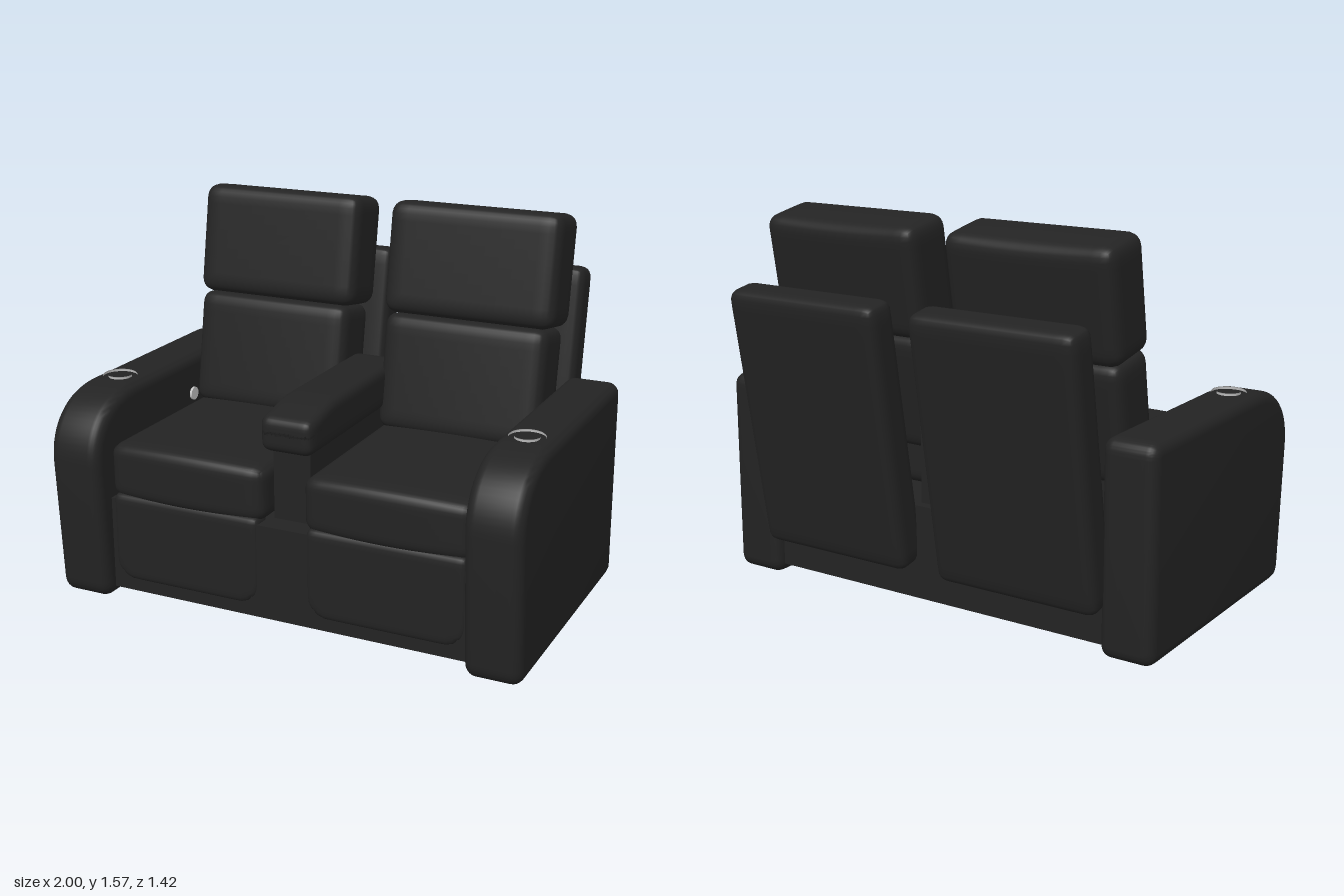
import * as THREE from 'three';
import { mergeVertices, toCreasedNormals } from 'three/addons/utils/BufferGeometryUtils.js';

const leather = new THREE.MeshStandardMaterial({ color: 0x232323 });
leather.name = 'black leather';
const metal = new THREE.MeshStandardMaterial({ color: 0xc4c4c4 });
metal.name = 'brushed metal';

// Soft box: rounded edges, optional reshaping of each vertex by a rule
function cushionGeometry(w, h, d, r, reshape) {
  const n = 18;
  const geo = new THREE.BoxGeometry(2, 2, 2, n, n, n);
  geo.deleteAttribute('normal');
  geo.deleteAttribute('uv');
  const half = new THREE.Vector3(w / 2, h / 2, d / 2);
  const inner = half.clone().subScalar(r);
  const pos = geo.attributes.position;
  const p = new THREE.Vector3(), core = new THREE.Vector3(), unit = new THREE.Vector3();
  for (let i = 0; i < pos.count; i++) {
    p.fromBufferAttribute(pos, i);
    // crowd the grid lines toward the edges
    p.set(...p.toArray().map((t) => Math.sin(t * Math.PI / 2)));
    unit.copy(p);
    p.multiply(half);
    core.copy(p).clamp(inner.clone().negate(), inner);
    p.sub(core).setLength(r).add(core);
    if (reshape) reshape(p, unit);
    pos.setXYZ(i, p.x, p.y, p.z);
  }
  const merged = mergeVertices(geo, 1e-5);
  merged.computeVertexNormals();
  return merged;
}

function add(parent, name, geo, material, x, y, z, tilt = 0) {
  const mesh = new THREE.Mesh(geo, material);
  mesh.name = name;
  mesh.position.set(x, y, z);
  mesh.rotation.x = tilt;
  parent.add(mesh);
  return mesh;
}

// Side panel with a rolled front; profile runs in z and y, extruded along x
function armGeometry(width) {
  const s = new THREE.Shape();
  s.moveTo(-0.42, 0);
  s.lineTo(0.61, 0);
  s.quadraticCurveTo(0.675, 0, 0.68, 0.07);
  s.lineTo(0.71, 0.58);
  s.bezierCurveTo(0.715, 0.74, 0.6, 0.855, 0.4, 0.855);
  s.lineTo(-0.42, 0.855);
  s.quadraticCurveTo(-0.48, 0.855, -0.48, 0.795);
  s.lineTo(-0.48, 0.06);
  s.quadraticCurveTo(-0.48, 0, -0.42, 0);
  const b = 0.045;
  const geo = new THREE.ExtrudeGeometry(s, {
    depth: width - 2 * b, bevelThickness: b, bevelSize: b, bevelOffset: -b,
    bevelSegments: 6, curveSegments: 16,
  });
  geo.translate(0, 0, b - width / 2);
  geo.rotateY(-Math.PI / 2);
  return toCreasedNormals(geo, 0.7);
}

// Flat-topped metal rim of a cup holder
function ringGeometry() {
  const pts = [[0.048, -0.02], [0.048, 0.006], [0.053, 0.011], [0.066, 0.011], [0.071, 0.006], [0.071, -0.02]];
  return new THREE.LatheGeometry(pts.map(([x, y]) => new THREE.Vector2(x, y)), 40);
}

export function createModel() {
  const model = new THREE.Group();
  model.name = 'twinReclinerSofa';
  const recline = -0.17;

  // Base and centre console
  add(model, 'base', new THREE.BoxGeometry(1.6, 0.39, 1.055), leather, 0, 0.235, 0.0875);
  add(model, 'consoleColumn', new THREE.BoxGeometry(0.16, 0.36, 0.92), leather, 0, 0.58, 0.06);
  const consolePad = cushionGeometry(0.225, 0.18, 0.85, 0.04, (p) => {
    // top slopes down toward the front
    if (p.y > 0) p.y -= 0.035 * THREE.MathUtils.smoothstep(p.z, 0.2, 0.43);
  });
  add(model, 'consoleArmrest', consolePad, leather, 0, 0.81, 0.155);

  // Shared cushion shapes
  const seat = cushionGeometry(0.7, 0.24, 0.85, 0.05, (p, u) => {
    if (u.z > 0) p.z -= 0.025 * u.x * u.x * u.z;
    if (u.y > 0) p.y -= 0.015 * u.x * u.x * u.y;
  });
  const lumbar = cushionGeometry(0.695, 0.48, 0.26, 0.05, (p, u) => {
    if (u.z > 0) p.z -= 0.012 * u.x * u.x;
  });
  const headrest = cushionGeometry(0.73, 0.46, 0.26, 0.055, (p, u) => {
    // slight waist at the top rear
    if (u.y > 0 && u.z < 0) p.y -= 0.012 * (1 - u.x * u.x) * u.y * -u.z;
  });
  const backPanel = cushionGeometry(0.715, 1.11, 0.155, 0.045);
  const footrest = cushionGeometry(0.66, 0.37, 0.1, 0.03, (p, u) => {
    // round the lower corners
    const r = 0.09, cx = 0.33 - r, cy = -0.185 + r;
    const dx = Math.abs(p.x) - cx, dy = cy - p.y;
    if (dx > 0 && dy > 0) {
      const k = Math.max(dx, dy) / Math.hypot(dx, dy);
      p.x = Math.sign(p.x) * (cx + dx * k);
      p.y = cy - dy * k;
    }
  });
  const arm = armGeometry(0.225);
  const ring = ringGeometry();
  const button = new THREE.CylinderGeometry(0.028, 0.028, 0.02, 24).rotateZ(Math.PI / 2);

  for (const [side, label] of [[1, 'left'], [-1, 'right']]) {
    const half = new THREE.Group();
    half.name = label + 'Recliner';
    model.add(half);
    const x = side * 0.434;
    add(half, 'seatCushion', seat, leather, x, 0.55, 0.207);
    add(half, 'footrest', footrest, leather, x, 0.27, 0.575);
    add(half, 'lumbarCushion', lumbar, leather, x, 0.868, -0.21, recline);
    add(half, 'headrest', headrest, leather, x, 1.325, -0.31, recline);
    add(half, 'backPanel', backPanel, leather, x, 0.727, -0.548, recline);
    add(half, 'arm', arm, leather, side * 0.8875, 0, 0);
    // Fittings on the arm
    add(half, 'cupHolderRing', ring, metal, side * 0.885, 0.856, 0.352);
    add(half, 'reclineButton', button, metal, side * 0.775, 0.685, -0.04 + 0.005);
  }
  return model;
}
